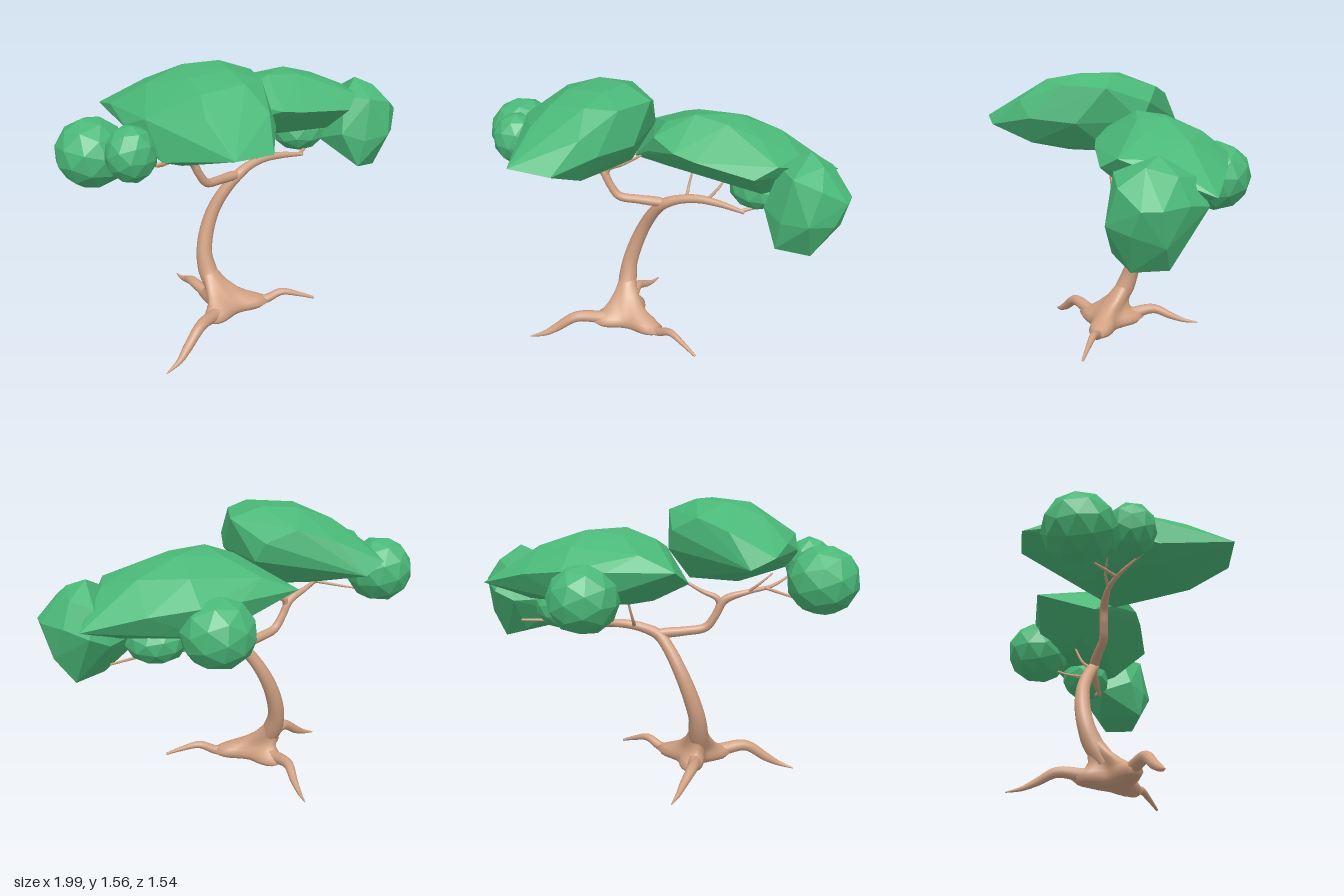
import * as THREE from 'three';
import { ConvexGeometry } from 'three/addons/geometries/ConvexGeometry.js';

const bark = new THREE.MeshStandardMaterial({ color: 0xd1a182, side: THREE.DoubleSide });
const leaf = new THREE.MeshStandardMaterial({ color: 0x4ab878, flatShading: true });

const V = (p) => new THREE.Vector3(p[0], p[1], p[2]);

// Smooth tapered limb: each point is [x, y, z, radius]
function limb(name, pts, sides = 12) {
  const curve = new THREE.CatmullRomCurve3(pts.map(V));
  const radii = new THREE.CatmullRomCurve3(pts.map((p) => new THREE.Vector3(p[3], 0, 0)));
  const segs = (pts.length - 1) * 6;
  const geo = new THREE.TubeGeometry(curve, segs, 1, sides);
  const pos = geo.attributes.position;
  const v = new THREE.Vector3();
  for (let i = 0; i <= segs; i++) {
    const t = curve.getUtoTmapping(i / segs);
    const c = curve.getPoint(t);
    const r = Math.max(0.002, radii.getPoint(t).x);
    for (let j = 0; j <= sides; j++) {
      const k = i * (sides + 1) + j;
      v.fromBufferAttribute(pos, k).sub(c).multiplyScalar(r).add(c);
      pos.setXYZ(k, v.x, v.y, v.z);
    }
  }
  const mesh = new THREE.Mesh(geo, bark);
  mesh.name = name;
  return mesh;
}

// Root flare: rings [x, y, z, core radius, lobe length], lobes point along the roots
function rootFlare(rings, lobeAngles, sides = 48) {
  const pos = [], index = [];
  rings.forEach(([x, y, z, core, lobe], i) => {
    for (let j = 0; j < sides; j++) {
      const a = (j / sides) * Math.PI * 2;
      let r = core;
      for (const l of lobeAngles) r += lobe * Math.exp(8 * (Math.cos(a - l) - 1));
      pos.push(x + r * Math.cos(a), y, z + r * Math.sin(a));
      if (i === 0) continue;
      const p = (i - 1) * sides, n = (j + 1) % sides;
      index.push(p + j, p + sides + j, p + n, p + n, p + sides + j, p + sides + n);
    }
  });
  const geo = new THREE.BufferGeometry();
  geo.setAttribute('position', new THREE.Float32BufferAttribute(pos, 3));
  geo.setIndex(index);
  geo.computeVertexNormals();
  const mesh = new THREE.Mesh(geo, bark);
  mesh.name = 'rootFlare';
  return mesh;
}

// Faceted leaf mass spanning a set of corner points
function canopy(name, pts) {
  const mesh = new THREE.Mesh(new ConvexGeometry(pts.map(V)), leaf);
  mesh.name = name;
  return mesh;
}

// Small round leaf cluster
function cluster(name, [x, y, z], [rx, ry, rz], turn) {
  const geo = new THREE.IcosahedronGeometry(1, 1);
  geo.rotateY(turn).rotateZ(turn * 0.6).scale(rx, ry, rz);
  const mesh = new THREE.Mesh(geo, leaf);
  mesh.position.set(x, y, z);
  mesh.name = name;
  return mesh;
}

export function createModel() {
  const tree = new THREE.Group();
  tree.name = 'tree';

  // Trunk, running on into the right branch
  tree.add(limb('trunkAndRightBranch', [
    [-0.175, 0.2, 0.01, 0.05], [-0.208, 0.3, -0.045, 0.054], [-0.222, 0.4, -0.08, 0.046],
    [-0.2, 0.53, -0.115, 0.042], [-0.15, 0.66, -0.137, 0.037], [-0.08, 0.77, -0.14, 0.033],
    [-0.015, 0.84, -0.145, 0.031], [0.06, 0.878, -0.185, 0.026], [0.16, 0.897, -0.235, 0.024],
    [0.28, 0.89, -0.28, 0.019], [0.42, 0.87, -0.32, 0.01],
  ], 16));

  // Three-lobed base under the trunk
  tree.add(rootFlare([
    [-0.1, 0.076, 0.04, 0.002, 0], [-0.1, 0.081, 0.04, 0.06, 0.06], [-0.1, 0.098, 0.04, 0.085, 0.12],
    [-0.1, 0.125, 0.04, 0.09, 0.15], [-0.11, 0.15, 0.04, 0.085, 0.12], [-0.125, 0.175, 0.035, 0.078, 0.075],
    [-0.15, 0.205, 0.02, 0.07, 0.04], [-0.178, 0.25, -0.01, 0.06, 0.015], [-0.2, 0.3, -0.035, 0.052, 0],
    [-0.215, 0.36, -0.065, 0.035, 0],
  ], [0, 2.28, -2.2]));

  // Roots
  const roots = [
    ['frontRoot', [[-0.14, 0.13, 0.09, 0.035], [-0.22, 0.14, 0.18, 0.036], [-0.31, 0.152, 0.285, 0.031],
      [-0.4, 0.075, 0.37, 0.025], [-0.45, 0.035, 0.42, 0.016], [-0.525, 0.003, 0.47, 0.003]]],
    ['backRoot', [[-0.15, 0.13, -0.02, 0.035], [-0.22, 0.14, -0.1, 0.035], [-0.28, 0.152, -0.21, 0.028],
      [-0.3, 0.11, -0.31, 0.021], [-0.32, 0.078, -0.39, 0.012], [-0.34, 0.065, -0.47, 0.003]]],
    ['sideRoot', [[-0.04, 0.12, 0.04, 0.03], [0.04, 0.112, 0.04, 0.03], [0.12, 0.125, 0.04, 0.026],
      [0.21, 0.16, 0.04, 0.021], [0.31, 0.135, 0.045, 0.014], [0.405, 0.1, 0.05, 0.007]]],
  ];
  for (const [name, pts] of roots) tree.add(limb(name, pts));

  // Left branch and its right fork, starting inside the trunk
  tree.add(limb('leftBranch', [[0.0, 0.848, -0.155, 0.018], [-0.05, 0.853, -0.12, 0.028],
    [-0.13, 0.862, -0.06, 0.025], [-0.215, 0.882, 0.01, 0.024], [-0.26, 0.95, 0.035, 0.022],
    [-0.3, 1.03, 0.055, 0.023], [-0.4, 1.075, 0.13, 0.014], [-0.48, 1.1, 0.24, 0.01],
    [-0.52, 1.15, 0.38, 0.005]]));
  tree.add(limb('leftFork', [[-0.28, 0.99, 0.05, 0.018], [-0.27, 1.04, 0.035, 0.017],
    [-0.2, 1.075, 0, 0.012], [-0.1, 1.14, -0.06, 0.006]]));

  // Twigs reaching into the leaves
  const twigs = [
    [[-0.46, 1.095, 0.2, 0.009], [-0.6, 1.07, 0.19, 0.007], [-0.74, 1.05, 0.17, 0.004]],
    [[-0.4, 1.075, 0.13, 0.009], [-0.46, 1.12, 0.14, 0.007], [-0.52, 1.18, 0.18, 0.004]],
    [[0.1, 0.885, -0.21, 0.012], [0.07, 0.93, -0.26, 0.008], [0.06, 1.06, -0.32, 0.005]],
    [[0.2, 0.89, -0.26, 0.01], [0.18, 0.93, -0.42, 0.007], [0.14, 1.0, -0.56, 0.004]],
    [[0.4, 0.875, -0.315, 0.011], [0.48, 0.9, -0.4, 0.009], [0.64, 0.905, -0.52, 0.006]],
  ];
  for (const pts of twigs) tree.add(limb('twig', pts, 8));

  // Large leaf mass over the front left
  tree.add(canopy('frontCanopy', [
    [-0.75, 1.31, -0.2], [-0.65, 1.25, -0.26], [-0.5, 1.42, -0.22], [-0.3, 1.48, -0.2],
    [-0.14, 1.41, -0.195], [-0.09, 1.31, -0.16], [0.03, 1.5, 0.01], [0.03, 1.51, 0.25],
    [0.06, 1.31, 0.17], [0.06, 1.33, 0.43], [-0.01, 1.28, 0.67], [-0.21, 1.3, 0.77],
    [-0.5, 1.2, 0.46], [-0.56, 1.38, 0.34], [-0.65, 1.31, 0.2], [-0.7, 1.36, 0],
    [-0.52, 1.48, 0.08], [-0.33, 1.55, 0.02], [-0.14, 1.56, 0.02], [-0.12, 1.56, 0.2],
    [-0.33, 1.54, 0.25], [-0.08, 1.53, 0.37], [-0.3, 1.5, 0.4], [-0.1, 1.14, 0.02],
    [-0.42, 1.15, 0], [-0.1, 1.14, 0.25], [-0.4, 1.16, 0.42], [0.01, 1.42, 0.5],
    [-0.3, 1.42, 0.54], [-0.04, 1.18, 0.45],
  ]));

  // Large leaf mass over the back right
  tree.add(canopy('backCanopy', [
    [-0.29, 1.22, -0.37], [-0.16, 1.12, -0.07], [-0.02, 1.2, -0.02], [0.04, 1.3, 0],
    [0.2, 1.26, 0.025], [0.32, 1.24, 0], [0.62, 1.2, -0.1], [0.69, 1.26, -0.2],
    [0.68, 1.26, -0.4], [0.76, 1.12, -0.67], [0.45, 1.19, -0.68], [0.2, 1.22, -0.66],
    [0, 1.22, -0.55], [-0.1, 1.3, -0.42], [0.02, 1.35, -0.12], [0.17, 1.41, -0.18],
    [0.35, 1.39, -0.22], [0.3, 1.4, -0.36], [0.08, 1.38, -0.32], [0.52, 1.34, -0.28],
    [0.5, 1.32, -0.5], [0.25, 1.33, -0.53], [-0.04, 1.04, -0.22], [0.06, 1.02, -0.3],
    [0.55, 1.04, -0.28], [0.6, 1.03, -0.5], [0.15, 1.05, -0.58],
  ]));

  // Drooping leaf mass at the far right
  tree.add(canopy('sideCanopy', [
    [0.75, 1.3, -0.4], [0.85, 1.26, -0.36], [0.82, 1.22, -0.5], [0.7, 1.2, -0.56],
    [0.65, 1.22, -0.28], [0.78, 1.22, -0.2], [0.92, 1.18, -0.25], [1, 1.1, -0.37],
    [0.97, 1.1, -0.46], [0.85, 1.1, -0.56], [0.72, 1.07, -0.63], [0.63, 1.02, -0.58],
    [0.58, 1.1, -0.4], [0.62, 1.02, -0.2], [0.75, 0.98, -0.165], [0.9, 1.0, -0.19],
    [0.97, 0.98, -0.32], [0.92, 0.92, -0.47], [0.86, 0.78, -0.3], [0.82, 0.79, -0.47],
    [0.72, 0.82, -0.18], [0.68, 0.84, -0.45], [0.53, 0.95, -0.36], [0.53, 1.02, -0.42],
  ]));

  // Round clusters
  tree.add(cluster('leftCluster', [-0.815, 1.17, 0.17], [0.185, 0.18, 0.195], 0.4));
  tree.add(cluster('smallLeftCluster', [-0.635, 1.22, 0.365], [0.13, 0.145, 0.13], 0.9));
  tree.add(cluster('backCluster', [0.12, 1.08, -0.59], [0.19, 0.18, 0.185], 0.2));
  tree.add(cluster('underCluster', [0.42, 0.99, -0.42], [0.16, 0.12, 0.14], 0.7));

  return tree;
}
